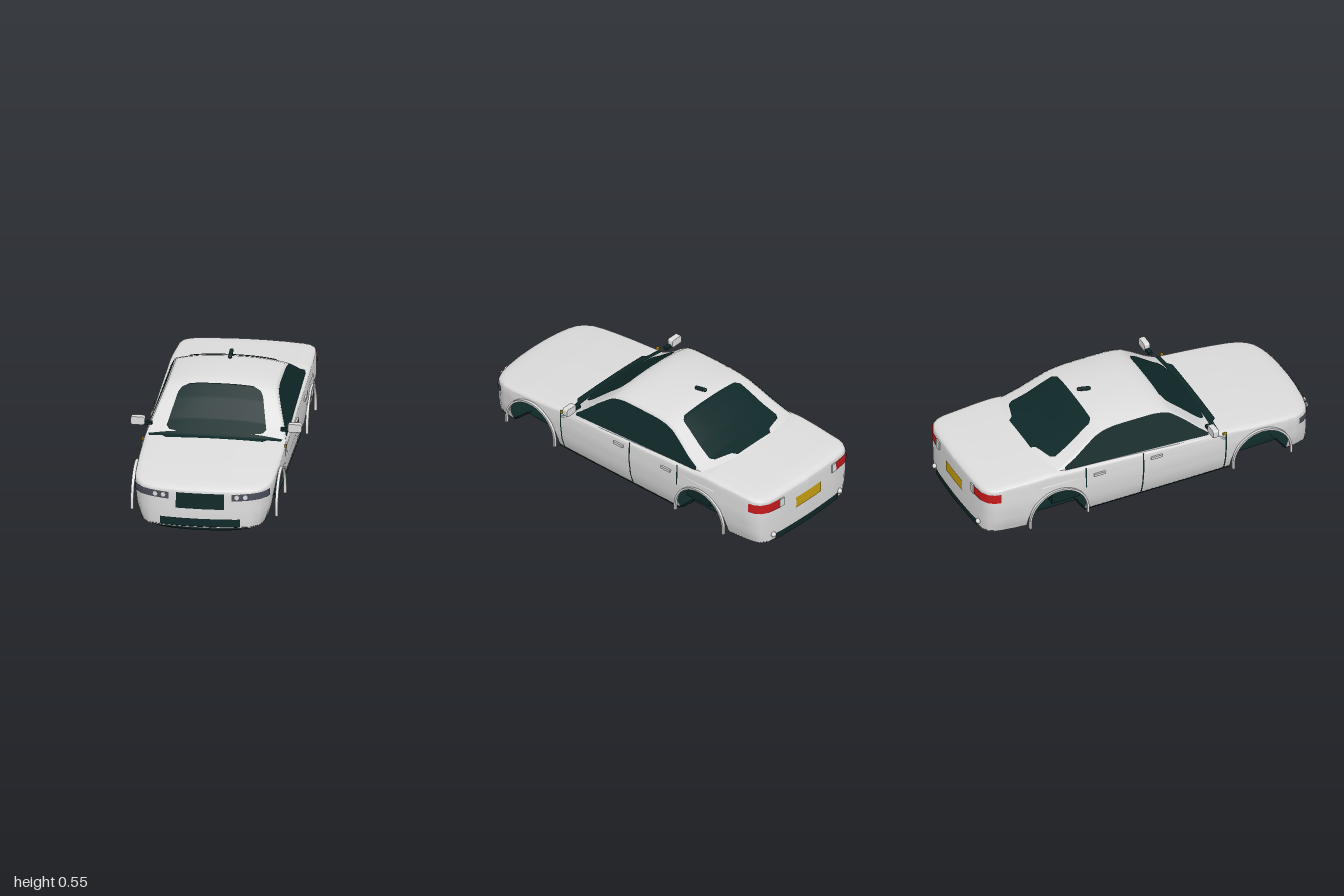
import * as THREE from 'three';

const mat = (name, color) => new THREE.MeshStandardMaterial({ name, color, side: THREE.DoubleSide });

// Piecewise linear lookup in a table of [key, value] pairs
function lerp(table, v) {
  const t = [...table].sort((a, b) => a[0] - b[0]);
  if (v <= t[0][0]) return t[0][1];
  for (let i = 1; i < t.length; i++) {
    if (v <= t[i][0]) {
      const [a, b] = [t[i - 1], t[i]];
      return a[1] + (b[1] - a[1]) * (v - a[0]) / (b[0] - a[0]);
    }
  }
  return t[t.length - 1][1];
}
const range = (a, b, n) => Array.from({ length: n + 1 }, (_, i) => a + (b - a) * i / n);

// Smooth surface through rows of points
function loft(rows) {
  const n = rows[0].length, index = [];
  for (let i = 0; i < rows.length - 1; i++) for (let j = 0; j < n - 1; j++) {
    const a = i * n + j, b = a + n;
    index.push(a, b, a + 1, b, b + 1, a + 1);
  }
  const g = new THREE.BufferGeometry();
  g.setAttribute('position', new THREE.Float32BufferAttribute(rows.flat(2), 3));
  g.setIndex(index);
  g.computeVertexNormals();
  return g;
}
const mirrorRow = half => [...half, ...half.slice(0, -1).reverse().map(([x, y, z]) => [-x, y, z])];

// Heights along the car and widths of the sides
const DECK = [[1, .232], [.955, .238], [.9, .25], [.7, .275], [.4, .302], [0, .32], [-.5, .345], [-.6, .355], [-.9, .343], [-.96, .335], [-1, .325]];
const ROOF = [[.42, .285], [.38, .31], [.3, .365], [.2, .45], [.13, .502], [.09, .514], [.04, .521], [-.05, .524], [-.2, .521], [-.26, .514], [-.31, .498], [-.36, .47], [-.45, .415], [-.53, .378], [-.6, .36], [-.66, .34]];
const WIDTH = [[.86, .366], [.8, .374], [.6, .382], [.2, .386], [-.4, .386], [-.7, .383], [-.89, .372]];
const BOTTOM = [[1, .016], [.8, .022], [-.73, .022], [-1, .05]];
const INSET = [[0, .06], [.03, .035], [.1, .012], [.2, 0], [.34, .004]];
const ARCHES = [.635, -.565], ARCH_R = .17, ARCH_Y = .065;

const deckY = (x, z) => lerp(DECK, z) - .012 * (x / .38) ** 2;
const sideX = y => .372 - .4 * (y - .3);
const roofY = (x, z) => {
  const h = lerp(ROOF, z);
  return h - .032 * Math.min(1, Math.abs(x) / sideX(h - .032)) ** 2.5;
};
const topY = (x, z) => Math.max(deckY(x, z), roofY(x, z));
const inArch = z => ARCHES.find(c => Math.abs(z - c) < ARCH_R);

// Plan outline from the nose round one side to the tail, with normals
const frontEnd = [[0, .995], [.1, .992], [.2, .982], [.27, .966], [.32, .94], [.35, .9], [.366, .86]];
const rearEnd = [[.372, -.89], [.362, -.93], [.34, -.96], [.3, -.98], [.2, -.99], [.1, -.994], [0, -.996]];
const sideZ = [...range(.85, -.87, 24).filter(z => ARCHES.every(c => Math.abs(z - c) > .172))];
for (const c of ARCHES) {
  sideZ.push(c + ARCH_R + .0005, c - ARCH_R - .0005);
  for (const a of range(0.03, Math.PI - .03, 20)) sideZ.push(c + ARCH_R * Math.cos(a));
}
sideZ.sort((a, b) => b - a);
const plan = [...frontEnd, ...sideZ.map(z => [lerp(WIDTH, z), z]), ...rearEnd];
const outline = plan.map(([x, z], i) => {
  if (x === 0) return { x, z, nx: 0, nz: Math.sign(z) };
  const p = plan[i - 1], q = plan[i + 1], dx = q[0] - p[0], dz = q[1] - p[1], l = Math.hypot(dx, dz);
  return { x, z, nx: -dz / l, nz: dx / l };
});
// Point of the body wall at height y, pushed out by off
function wall(o, y, off = 0) {
  const d = lerp(INSET, y) * (1 - .8 * o.nz * o.nz) + .015 * Math.max(o.nz, 0) * y / .22 - off;
  return [Math.max(0, o.x - o.nx * d), y, o.z - o.nz * d];
}
function endWall(front, x, y, off = .005) {
  const pts = outline.filter(o => (front ? o.z > .855 : o.z < -.885));
  const pick = k => lerp(pts.map(o => [o.x, o[k]]), Math.abs(x));
  const p = wall({ x: Math.abs(x), z: pick('z'), nx: pick('nx'), nz: pick('nz') }, y, off);
  return [x < 0 ? -p[0] : p[0], p[1], p[2]];
}

export function createModel() {
  const car = new THREE.Group();
  car.name = 'car';
  const white = mat('white paint', 0xdcdcdc), dark = mat('dark glass and trim', 0x0f2828);
  const grey = mat('headlight grey', 0x4a4e5a), red = mat('tail light red', 0xc21a1a), yellow = mat('plate yellow', 0xc8a010);
  const add = (name, geo, m, x = 0, y = 0, z = 0) => {
    const mesh = new THREE.Mesh(geo, m);
    mesh.name = name;
    mesh.position.set(x, y, z);
    car.add(mesh);
    return mesh;
  };
  const both = fn => [1, -1].forEach(fn);

  // Lower body: walls with wheel openings, rounded shoulders, bonnet and boot
  add('lowerBody', loft(outline.map(o => {
    const c = inArch(o.z);
    const yb = c === undefined ? lerp(BOTTOM, o.z) : ARCH_Y + Math.sqrt(ARCH_R ** 2 - (o.z - c) ** 2);
    const top = deckY(o.x, o.z) - .016;
    const half = range(0, 1, 9).map(t => wall(o, yb + (top - yb) * t));
    const shoulder = (dy, d) => {
      const [x, , z] = wall(o, top, -d);
      return [x, Math.max(top, deckY(x, z) - dy), z];
    };
    half.push(shoulder(.009, .004), shoulder(.003, .014), shoulder(0, .032));
    const [ex, , ez] = half[half.length - 1];
    for (const f of [.8, .6, .4, .2, 0]) half.push([ex * f, deckY(ex * f, ez), ez]);
    return mirrorRow(half);
  })), white);

  // Floor pan with lower lip and wheel notches
  add('floorPan', loft(outline.map(o => {
    const yb = lerp(BOTTOM, o.z), notch = inArch(o.z) === undefined ? 0 : -.09;
    const a = wall(o, yb + .008, notch + .002), b = wall(o, yb - .006, notch - .01);
    return mirrorRow([a, b, [b[0] * .8, yb - .016, b[2]], [0, yb - .016, b[2]]]);
  })), dark);

  // Cabin with pillars and roof
  const roofZ = ROOF.flatMap(([z], i) => (i ? [(z + ROOF[i - 1][0]) / 2, z] : [z]));
  add('cabin', loft(roofZ.map(z => {
    const st = lerp(ROOF, z) - .032;
    const half = range(Math.min(.27, st - .01), st, 4).map(y => [sideX(y), y, z]);
    for (const f of [.95, .88, .75, .6, .4, .2, 0]) half.push([sideX(st) * f, roofY(sideX(st) * f, z), z]);
    return mirrorRow(half);
  })), white);

  // Front and rear glass and the cowl, lying on the surface below
  const topGlass = (name, hw) => add(name, loft(range(hw[0][0], hw[hw.length - 1][0], 40).map(z =>
    range(lerp(hw, z), -lerp(hw, z), 20).map(x => [x, topY(x, z) + .005, z]))), dark);
  topGlass('windscreen', [[.365, .2], [.355, .25], [.33, .268], [.17, .228], [.145, .212], [.128, .17]]);
  topGlass('rearWindow', [[-.29, .2], [-.31, .228], [-.53, .268], [-.555, .25], [-.585, .15], [-.61, .13]]);
  topGlass('cowl', [[.418, .26], [.397, .28], [.392, .355], [.365, .36]]);

  // Plates that follow the nose or the tail
  const endPlate = (name, m, front, x0, x1, lo, hi, off) => add(name, loft(range(x0, x1, 16).map((x, i) =>
    range(0, 1, 4).map(t => {
      const s = i / 16, a = lo[0] + (lo[1] - lo[0]) * s, b = hi[0] + (hi[1] - hi[0]) * s;
      return endWall(front, x, a + (b - a) * t, off);
    }))), m);
  endPlate('grille', dark, true, -.13, .13, [.125, .125], [.212, .212]);
  endPlate('frontPlate', white, true, -.1, .1, [.075, .075], [.122, .122], .007);
  endPlate('frontIntake', dark, true, -.215, .215, [.026, .026], [.07, .07]);
  endPlate('rearPlate', yellow, false, -.1, .1, [.18, .18], [.245, .245]);
  endPlate('rearIntake', dark, false, -.25, .25, [.045, .045], [.085, .085]);
  both(s => {
    endPlate('headlight', grey, true, s * .17, s * .362, [.172, .18], [.209, .218]);
    for (const x of [.2, .245]) {
      const p = endWall(true, s * x, .196, .007);
      add('headlightLamp', new THREE.CylinderGeometry(.014, .014, .01, 12), white, ...p).rotation.x = Math.PI / 2;
    }
    endPlate('tailLight', red, false, s * .22, s * .37, [.243, .25], [.298, .304]);
    const r = endWall(false, s * .21, .27, 0);
    add('reversingLight', new THREE.BoxGeometry(.035, .05, .014), white, ...r);
    const f = endWall(false, s * .265, .085, .004);
    add('rearFogLamp', new THREE.SphereGeometry(.015, 14, 10), white, ...f);
  });

  both(s => {
    // Side windows
    add('sideWindow', loft(range(.325, -.515, 50).map(z => {
      const lo = .325 - .04 * z, hi = Math.max(lo, Math.min(.488, lerp(ROOF, z) - .034));
      return range(lo - .012, hi, 5).map(y => [s * (sideX(y) + .004), y, z]);
    })), dark);

    // Door seams, sill, handles and side marker
    const sidePoint = (y, z, off) => [s * (lerp(WIDTH, z) - lerp(INSET, y) + off), y, z];
    for (const [z, lo, hi] of [[.425, .03, .285], [-.065, .03, .312], [-.403, .2, .325]]) {
      add('doorSeam', loft([z + .004, z - .004].map(q => range(lo, hi, 12).map(y => sidePoint(y, q, .003)))), dark);
    }
    add('sill', loft(range(.465, -.395, 10).map(z => [.016, .034].map(y => sidePoint(y, z, .004)))), dark);
    for (const z of [.012, -.325]) {
      add('doorHandle', new THREE.BoxGeometry(.014, .014, .065), white, ...sidePoint(.266, z, .003));
    }
    add('sideMarker', new THREE.BoxGeometry(.01, .014, .018), yellow, ...sidePoint(.283, .415, .002));

    // Wheel arch trims
    for (const c of ARCHES) {
      const ring = new THREE.Shape();
      ring.moveTo(.176, -.03).lineTo(.176, 0).absarc(0, 0, .176, 0, Math.PI, false).lineTo(-.176, -.03);
      ring.lineTo(-.165, -.03).lineTo(-.165, 0).absarc(0, 0, .165, Math.PI, 0, true).lineTo(.165, -.03);
      const g = new THREE.ExtrudeGeometry(ring, { depth: .016, bevelEnabled: false, curveSegments: 24 });
      g.rotateY(Math.PI / 2);
      add('archTrim', g, white, s > 0 ? .38 : -.396, ARCH_Y, c);
    }

    // Door mirror on its stalk
    add('mirrorStalk', new THREE.BoxGeometry(.05, .014, .025), dark, s * .37, .343, .33);
    const m = new THREE.Shape();
    m.absarc(.025, .011, .01, 0, Math.PI / 2).absarc(-.025, .011, .01, Math.PI / 2, Math.PI);
    m.absarc(-.025, -.011, .01, Math.PI, Math.PI * 1.5).absarc(.025, -.011, .01, Math.PI * 1.5, Math.PI * 2);
    add('mirror', new THREE.ExtrudeGeometry(m, { depth: .022, bevelSize: .003, bevelThickness: .006, bevelSegments: 3 }), white, s * .422, .356, .319);
  });

  // Dark bulkhead between the rear wheels
  add('rearBulkhead', new THREE.BoxGeometry(.62, .14, .165), dark, 0, .16, -.4875);
  add('rearShelf', new THREE.BoxGeometry(.62, .05, .04), dark, 0, .205, -.585);

  // Roof aerial
  add('aerial', new THREE.CapsuleGeometry(.011, .06, 6, 12), dark, 0, .537, -.232).rotation.x = -Math.PI / 2 + .22;

  return car;
}
